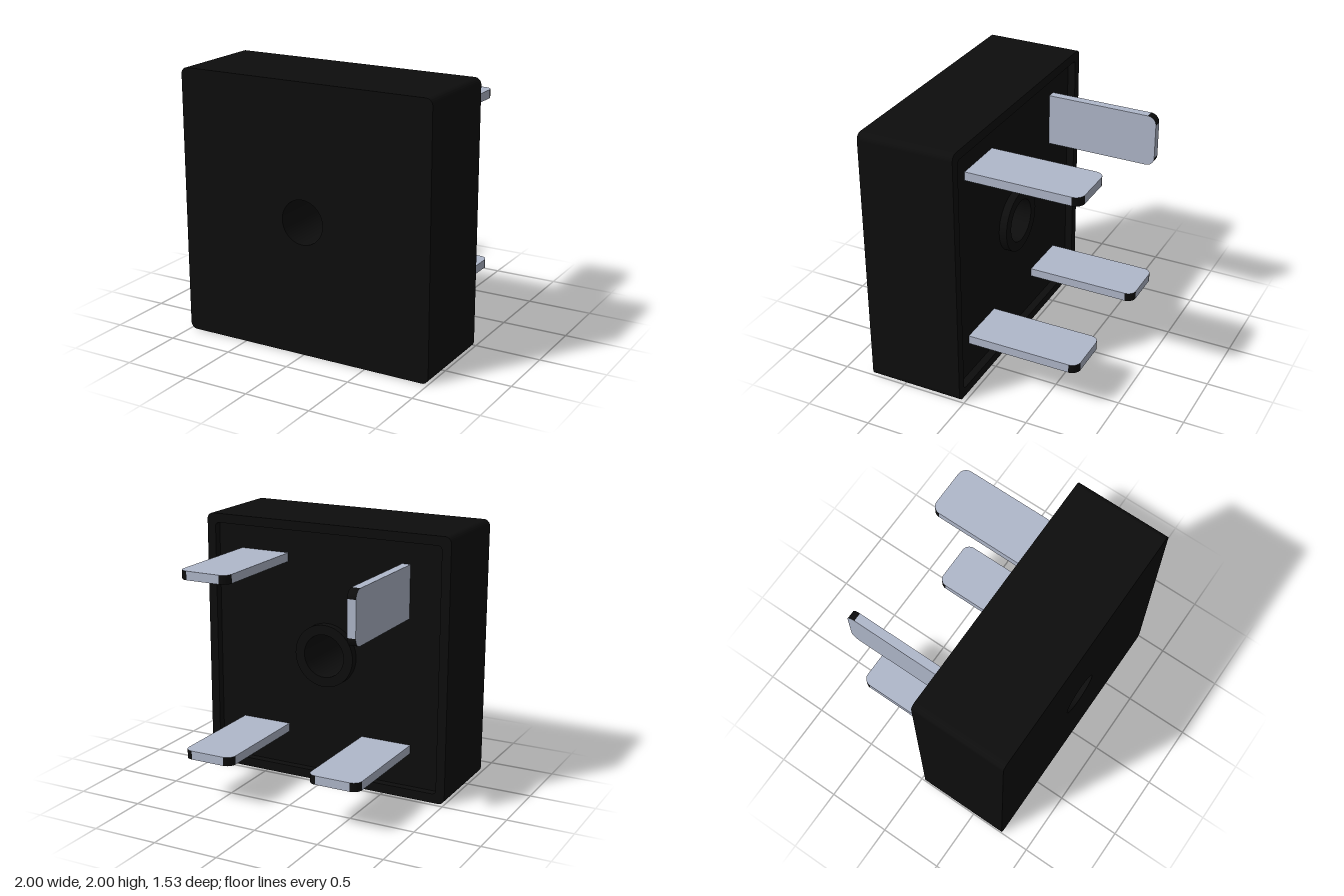
import * as THREE from 'three';
import { toCreasedNormals } from 'three/addons/utils/BufferGeometryUtils.js';

const black = new THREE.MeshStandardMaterial({ color: 0x0d0d0d });
black.name = 'black plastic';
const metal = new THREE.MeshStandardMaterial({ color: 0xb0b8cb });
metal.name = 'pale metal';

const BACK = 0.035, FLOOR = 0.095, FRONT = 0.767, TIP = -0.767;
const HOLE_R = 0.165, CENTRE_Y = 1;

// Square outline with rounded corners
function roundedSquare(half, r, Type = THREE.Shape) {
  const s = new Type(), k = half - r;
  s.absarc(k, k, r, 0, Math.PI / 2);
  s.absarc(-k, k, r, Math.PI / 2, Math.PI);
  s.absarc(-k, -k, r, Math.PI, Math.PI * 1.5);
  s.absarc(k, -k, r, Math.PI * 1.5, Math.PI * 2);
  s.closePath();
  return s;
}

function circle(r, Type = THREE.Shape) {
  const s = new Type();
  s.absarc(0, 0, r, 0, Math.PI * 2);
  return s;
}

// Extrude an outline with one hole between two depths
function plate(name, outline, hole, z0, z1) {
  outline.holes.push(hole);
  const geo = new THREE.ExtrudeGeometry(outline, { depth: z1 - z0, bevelEnabled: false, curveSegments: 24 });
  const mesh = new THREE.Mesh(toCreasedNormals(geo, 0.6), black);
  mesh.name = name;
  mesh.position.set(0, CENTRE_Y, z0);
  return mesh;
}

// Flat blade along -z with two rounded tip corners; the corner faces are black
function bladeGeometry(width, thick, r) {
  const w = width / 2, len = FLOOR - TIP;
  const s = new THREE.Shape();
  s.moveTo(-w, 0);
  s.lineTo(w, 0);
  s.lineTo(w, len - r);
  s.absarc(w - r, len - r, r, 0, Math.PI / 2);
  s.lineTo(-w + r, len);
  s.absarc(-w + r, len - r, r, Math.PI / 2, Math.PI);
  s.closePath();
  const geo = new THREE.ExtrudeGeometry(s, { depth: thick, bevelEnabled: false, curveSegments: 10 });
  geo.translate(0, 0, -thick / 2);
  // Slanted side faces belong to the rounded corners
  const n = geo.attributes.normal;
  geo.clearGroups();
  for (let i = 0; i < n.count; i += 3) {
    const corner = Math.abs(n.getX(i)) > 0.02 && Math.abs(n.getY(i)) > 0.02;
    geo.addGroup(i, 3, corner ? 1 : 0);
  }
  geo.rotateX(-Math.PI / 2);
  return geo;
}

export function createModel() {
  const model = new THREE.Group();
  model.name = 'fourTerminalBlock';

  // Housing: solid block, raised back rim and collar around the mounting hole
  const housing = new THREE.Group();
  housing.name = 'housing';
  housing.add(
    plate('block', roundedSquare(1, 0.05), circle(HOLE_R, THREE.Path), FLOOR, FRONT),
    plate('backRim', roundedSquare(1, 0.05), roundedSquare(0.93, 0.03, THREE.Path), BACK, FLOOR),
    plate('holeCollar', circle(0.24), circle(HOLE_R, THREE.Path), BACK, FLOOR)
  );
  model.add(housing);

  // Terminals: three lie flat, one stands upright
  const blade = bladeGeometry(0.4, 0.066, 0.066);
  const terminals = [
    ['upperLeftTerminal', 0.533, 1.71, 0],
    ['lowerLeftTerminal', 0.533, 0.362, 0],
    ['lowerRightTerminal', -0.492, 0.362, 0],
    ['uprightTerminal', -0.633, 1.56, Math.PI / 2],
  ];
  for (const [name, x, y, turn] of terminals) {
    const mesh = new THREE.Mesh(blade, [metal, black]);
    mesh.name = name;
    mesh.position.set(x, y, FLOOR);
    mesh.rotation.z = turn;
    model.add(mesh);
  }
  return model;
}
